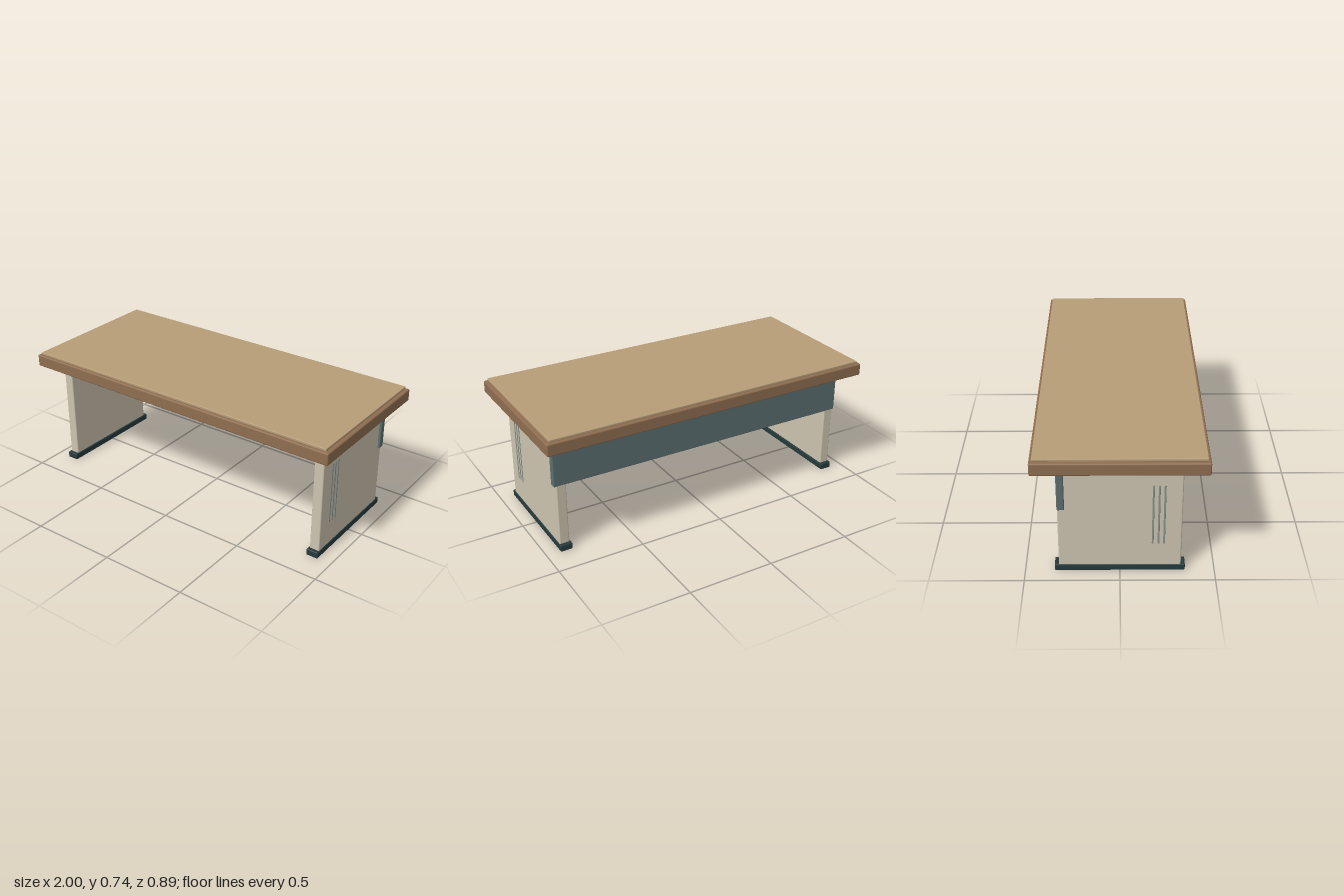
import * as THREE from 'three';
import { RoundedBoxGeometry } from 'three/addons/geometries/RoundedBoxGeometry.js';

const material = (name, color) => {
  const m = new THREE.MeshStandardMaterial({ color });
  m.name = name;
  return m;
};

export function createModel() {
  const edgeWood = material('brown wood', 0x8f6e50);
  const topWood = material('tan wood', 0xb89d78);
  const cream = material('cream panel', 0xcec5b0);
  const slate = material('slate panel', 0x5c6e70);
  const dark = material('dark foot', 0x263a3c);
  const grey = material('grey strip', 0x87938f);

  const desk = new THREE.Group();
  desk.name = 'desk';

  // Softly bevelled box given by its limits on each axis
  const block = (name, mat, [x0, x1], [y0, y1], [z0, z1], bevel, parent = desk) => {
    const geometry = new RoundedBoxGeometry(x1 - x0, y1 - y0, z1 - z0, 2, bevel);
    const mesh = new THREE.Mesh(geometry, mat);
    mesh.position.set((x0 + x1) / 2, (y0 + y1) / 2, (z0 + z1) / 2);
    mesh.name = name;
    parent.add(mesh);
    return mesh;
  };

  // Table top: thick slab with a thin inset surface
  block('topSlab', edgeWood, [-1, 1], [0.655, 0.726], [-0.447, 0.447], 0.008);
  block('topSurface', topWood, [-0.98, 0.98], [0.726, 0.742], [-0.433, 0.433], 0.004);

  // Rear modesty panel, passing through both legs
  block('modestyPanel', slate, [-0.927, 0.927], [0.396, 0.621], [-0.323, -0.284], 0.006);

  // Panel legs with feet and three raised strips on the outer face
  for (const side of [-1, 1]) {
    const leg = new THREE.Group();
    leg.name = side > 0 ? 'leftLeg' : 'rightLeg';
    desk.add(leg);
    const span = (a, b) => (side > 0 ? [a, b] : [-b, -a]);
    block('legPanel', cream, span(0.856, 0.914), [0.03, 0.639], [-0.322, 0.322], 0.007, leg);
    block('foot', dark, span(0.849, 0.919), [0, 0.038], [-0.344, 0.344], 0.006, leg);
    for (const z of [0.171, 0.201, 0.23]) {
      block('strip', grey, span(0.91, 0.917), [0.175, 0.54], [z - 0.005, z + 0.005], 0.002, leg);
    }
  }

  return desk;
}
